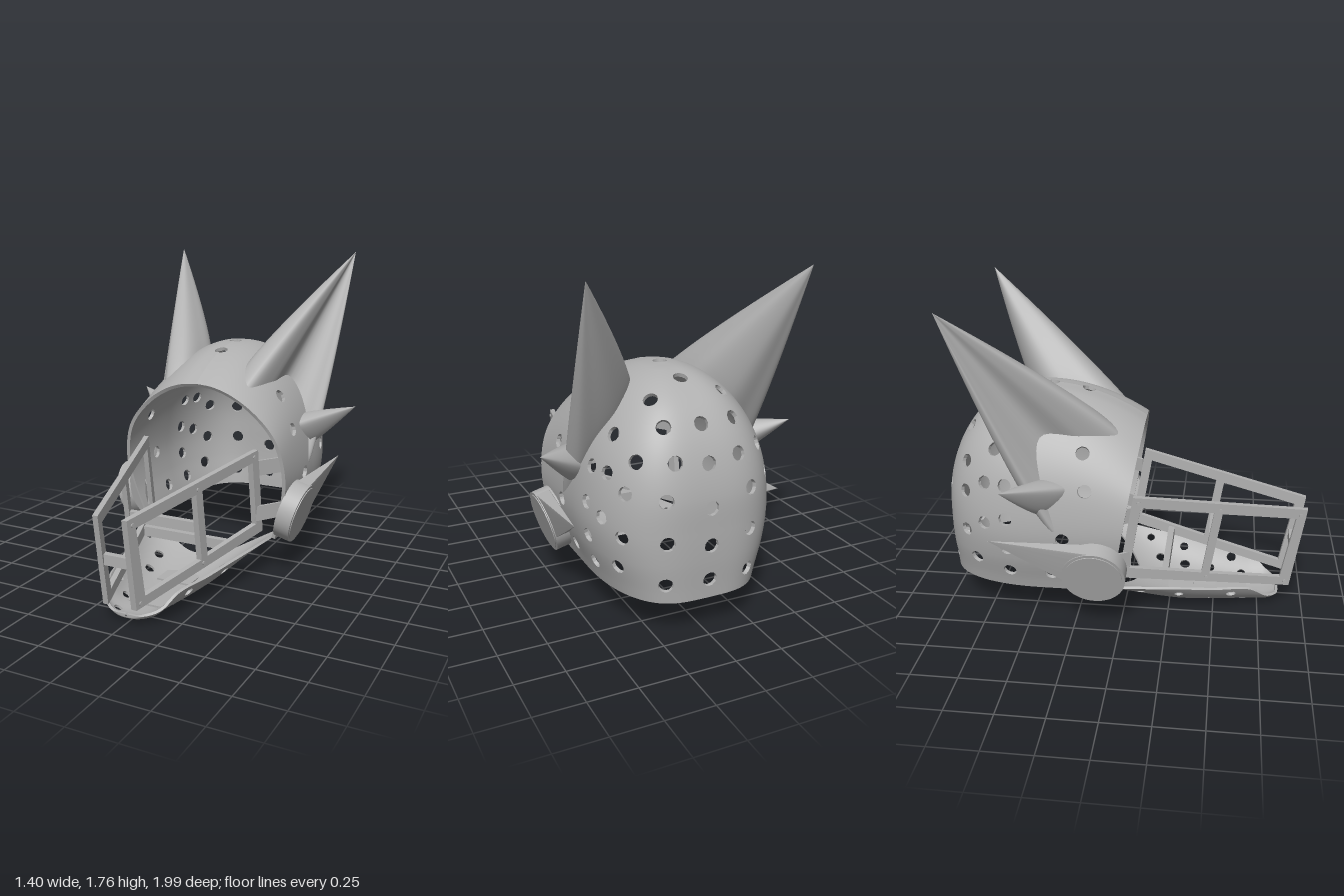
import * as THREE from 'three';
import { ConvexGeometry } from 'three/addons/geometries/ConvexGeometry.js';

const V = (x, y, z) => new THREE.Vector3(x, y, z);
const grey = new THREE.MeshStandardMaterial({ color: 0xb0b0b0 });
grey.name = 'plain grey';

// parameter 0..1 at which a monotone function reaches a target
function solve(fn, target) {
  let a = 0, b = 1;
  const rising = fn(1) > fn(0);
  for (let i = 0; i < 30; i++) {
    const m = (a + b) / 2;
    if ((fn(m) < target) === rising) a = m; else b = m;
  }
  return (a + b) / 2;
}

// thick sheet over P(u, v), trimmed and pierced wherever keep(p, u, v) is negative
function shell(P, nu, nv, thick, keep) {
  const pos = [], nor = [], e = 0.004;
  const normal = (u, v) => {
    u = THREE.MathUtils.clamp(u, e, 1 - e);
    v = THREE.MathUtils.clamp(v, 3 * e, 1 - 3 * e);
    const du = P(u + e, v).sub(P(u - e, v)), dv = P(u, v + e).sub(P(u, v - e));
    return du.cross(dv).normalize();
  };
  const point = (u, v, cut) => {
    const p = P(u, v), n = normal(u, v);
    return { u, v, cut, p, n, q: p.clone().addScaledVector(n, -thick), m: n.clone().negate(), f: keep(p, u, v) };
  };
  const tri = (ps, ns) => ps.forEach((p, i) => { pos.push(p.x, p.y, p.z); nor.push(ns[i].x, ns[i].y, ns[i].z); });
  const clip = (t) => {
    const out = [];
    t.forEach((a, i) => {
      const b = t[(i + 1) % 3];
      if (a.f >= 0) out.push(a);
      if ((a.f >= 0) !== (b.f >= 0)) {
        const k = a.f / (a.f - b.f);
        out.push(point(a.u + (b.u - a.u) * k, a.v + (b.v - a.v) * k, true));
      }
    });
    for (let i = 1; i < out.length - 1; i++) {
      const [a, b, c] = [out[0], out[i], out[i + 1]];
      tri([a.p, b.p, c.p], [a.n, b.n, c.n]);
      tri([a.q, c.q, b.q], [a.m, c.m, b.m]);
    }
    out.forEach((a, i) => {
      const b = out[(i + 1) % out.length];
      if (!a.cut || !b.cut) return;
      const w = b.p.clone().sub(a.p).cross(a.n).normalize();
      tri([a.p, a.q, b.q], [w, w, w]);
      tri([a.p, b.q, b.p], [w, w, w]);
    });
  };
  const grid = [];
  for (let j = 0; j <= nv; j++) {
    grid.push([]);
    for (let i = 0; i <= nu; i++) grid[j].push(point(i / nu, j / nv, false));
  }
  for (let j = 0; j < nv; j++) for (let i = 0; i < nu; i++) {
    const a = grid[j][i], b = grid[j][i + 1], c = grid[j + 1][i + 1], d = grid[j + 1][i];
    clip([a, b, c]);
    clip([a, c, d]);
  }
  const g = new THREE.BufferGeometry();
  g.setAttribute('position', new THREE.Float32BufferAttribute(pos, 3));
  g.setAttribute('normal', new THREE.Float32BufferAttribute(nor, 3));
  return g;
}
const outside = (holes, p) => holes.reduce((f, h) => Math.min(f, p.distanceTo(h.c) - h.r), 1);

// curved horn from a closed base loop to a tip
function horn(base, center, tip, power, n = 48, rows = 24) {
  const loop = new THREE.CatmullRomCurve3(base, true), pos = [], idx = [];
  for (let j = 0; j <= rows; j++) {
    const s = j / rows, c = center.clone().lerp(tip, s);
    for (let i = 0; i < n; i++) {
      const p = loop.getPoint(i / n).sub(center).multiplyScalar(1 - Math.pow(s, power)).add(c);
      pos.push(p.x, p.y, p.z);
      if (j === rows) continue;
      const a = j * n + i, b = j * n + (i + 1) % n;
      idx.push(a, a + n, b, b, a + n, b + n);
    }
  }
  const g = new THREE.BufferGeometry();
  g.setAttribute('position', new THREE.Float32BufferAttribute(pos, 3));
  g.setIndex(idx);
  g.computeVertexNormals();
  return g;
}

function mirrored(geo) {
  const g = (geo.index ? geo.toNonIndexed() : geo.clone()).scale(-1, 1, 1);
  for (const name of ['position', 'normal']) {
    const a = g.attributes[name].array;
    for (let i = 0; i < a.length; i += 9) for (let k = 3; k < 6; k++) [a[i + k], a[i + k + 3]] = [a[i + k + 3], a[i + k]];
  }
  return g;
}

function bar(a, b, height, thick) {
  const o = new THREE.Object3D();
  o.position.copy(a).lerp(b, 0.5);
  o.lookAt(b);
  o.updateMatrix();
  return new THREE.BoxGeometry(thick, height, a.distanceTo(b)).applyMatrix4(o.matrix);
}

export function createModel() {
  const model = new THREE.Group();
  const add = (name, geo) => {
    const m = new THREE.Mesh(geo, grey);
    m.name = name;
    model.add(m);
  };
  const pair = (name, geo) => { add(name + 'Left', geo); add(name + 'Right', mirrored(geo)); };

  // head shell: profile holds half width, height and depth behind the middle
  const profile = new THREE.CatmullRomCurve3([[.4, .14, .53], [.43, .25, .535], [.475, .4, .543], [.497, .55, .543], [.485, .72, .535],
    [.45, .87, .5], [.39, 1, .443], [.3, 1.12, .352], [.2, 1.2, .24], [.1, 1.242, .12], [0, 1.255, 0]].map((p) => V(...p)));
  const zc = -0.45, run = 0.57, side = 0.22;
  const head = (u, v) => {
    const { x: w, y, z: d } = profile.getPoint(v);
    if (u >= side && u <= 1 - side) {
      const a = (u - side) / (1 - 2 * side) * Math.PI, c = Math.cos(a), s = Math.sin(a), corner = c * c * s * s;
      return V(w * c * (1 + 0.22 * corner), y, zc - d * s * (1 + 0.48 * corner));
    }
    const s = 1 - Math.min(u, 1 - u) / side;
    return V(u < 0.5 ? w : -w, y - 0.188 * s * s * THREE.MathUtils.smoothstep(y, 0.5, 1.25), zc + run * s);
  };
  const headHoles = [];
  const headHole = (u, y) => {
    const v = y > 1.25 ? 1 : solve((t) => profile.getPoint(t).y, y);
    for (const k of [u, 1 - u]) headHoles.push({ c: head(k, v), r: 0.037 });
  };
  // back holes: angle round the head in degrees, height
  for (const [a, y] of [[16, .31], [35, .36], [61, .3], [90, .3], [16, .46], [28, .6], [40, .53], [64, .52], [90, .48], [16, .64],
    [41, .75], [63, .73], [90, .67], [17, .82], [29, .82], [45, .9], [68, .9], [90, .88], [27, .99], [60, 1.05], [90, 1.05],
    [47, 1.15], [90, 1.22]]) headHole(side + (1 - 2 * side) * a / 180, y);
  // front holes: depth, height
  for (const [z, y] of [[-.2, 1.02], [-.18, .83], [-.3, .54], [-.37, .31], [-.42, 1.255], [-.22, 1.255]])
    headHole(side * (1 - (z - zc) / run), y);
  add('headShell', shell(head, 150, 80, 0.02, (p) =>
    Math.min(outside(headHoles, p), p.y - 0.2, 0.1 - (1.08 - p.y) * 0.17 - p.z)));

  // lower jaw tray: depth, half width, floor height, rim height
  const jawRows = [[.87, .005, .045, .055], [.86, .09, .03, .055], [.8, .16, .014, .075], [.7, .21, .008, .14], [.5, .265, .004, .155],
    [.3, .315, .012, .175], [.1, .36, .06, .19], [-.05, .39, .12, .2], [-.22, .42, .18, .21]];
  const floor = new THREE.CatmullRomCurve3(jawRows.map(([z, w, y]) => V(w, y, z)));
  const rim = new THREE.CatmullRomCurve3(jawRows.map(([z, w, , y]) => V(w, y, z)));
  const jaw = (u, v) => {
    const s = (1 - 2 * u) * 1.04, f = floor.getPoint(v);
    return V(f.x * s, f.y + (rim.getPoint(v).y - f.y) * Math.abs(s) ** 3, f.z);
  };
  const jawHoles = [];
  for (const [z, s, r] of [[.6, .88, .028], [.31, .88, .026], [.1, .88, .024], [.47, .62, .03], [.32, .6, .03], [.17, .6, .03],
    [.8, .6, .025], [.66, .6, .025], [.6, 0, .05], [.3, 0, .05]]) {
    const v = solve((t) => floor.getPoint(t).z, z);
    for (const k of [s, -s]) jawHoles.push({ c: jaw((1 - k / 1.04) / 2, v), r });
  }
  add('jawTray', shell(jaw, 72, 72, 0.014, (p, u) => {
    const s = Math.abs(1 - 2 * u) * 1.04;
    return Math.min(outside(jawHoles, p), (1 - s) * 0.3, p.z - 0.06 + 0.26 * s * s);
  }));
  for (const z of [0.29, 0.6]) add('jawPlate', new THREE.BoxGeometry(0.2, 0.01, 0.18).translate(0, 0.033, z));

  // tall folded ears and small side spikes
  pair('ear', horn([V(.25, 1.04, -.01), V(.185, 1.14, -.13), V(.18, 1.19, -.33), V(.2, 1.19, -.5), V(.31, 1.07, -.59),
    V(.41, .92, -.55), V(.475, .75, -.48), V(.505, .59, -.34), V(.455, .85, -.41), V(.345, 1.06, -.42), V(.315, 1.04, -.2)],
  V(.32, 1.04, -.38), V(.577, 1.76, -.87), 1.18, 64));
  pair('spike', horn([V(.46, .82, -.28), V(.44, .86, -.42), V(.45, .78, -.5), V(.5, .69, -.43)],
    V(.465, .79, -.41), V(.7, .89, -.57), 1.15, 32, 16));

  // side cups with swept-back fins
  const tilt = -1.845, cx = 0.5, cy = 0.36, cz = -0.13;
  const place = (g) => g.rotateZ(tilt).translate(cx, cy, cz);
  pair('cup', place(new THREE.CylinderGeometry(0.17, 0.17, 0.09, 48)));
  pair('cupFace', place(new THREE.CylinderGeometry(0.155, 0.155, 0.008, 48).translate(0, 0.046, 0)));
  const finPoints = [V(.575, .555, -.68)];
  for (let k = -10; k <= 100; k += 10) for (const h of [-0.035, 0.04]) {
    const a = THREE.MathUtils.degToRad(k);
    finPoints.push(V(-0.168 * Math.sin(a), h, -0.168 * Math.cos(a)).applyAxisAngle(V(0, 0, 1), tilt).add(V(cx, cy, cz)));
  }
  pair('cupFin', new ConvexGeometry(finPoints));

  // muzzle cage panels drawn in depth and height, then swung outwards
  const outline = (pts, T) => new T(pts.map(([z, y]) => new THREE.Vector2(z, y)));
  const panel = outline([[1, .595], [.06, .74], [-.02, .255], [.925, .115]], THREE.Shape);
  panel.holes.push(outline([[.94, .545], [.87, .175], [.475, .235], [.535, .605]], THREE.Path),
    outline([[.49, .615], [.43, .245], [.04, .31], [.1, .675]], THREE.Path));
  const swing = new THREE.Matrix4().makeBasis(V(-.27, 0, 1), V(.042, 1, 0), V(-1, 0, 0)).setPosition(.34, 0, 0);
  pair('cagePanel', new THREE.ExtrudeGeometry(panel, { depth: 0.03, bevelEnabled: false }).applyMatrix4(swing));
  for (const [z, y] of [[.965, .565], [.525, .63], [.09, .705], [.9, .145], [.46, .215]])
    pair('cageBolt', new THREE.CylinderGeometry(0.01, 0.01, 0.008, 12).rotateZ(-Math.PI / 2)
      .rotateY(-0.26).translate(.342 - .27 * z + .042 * y, y, z));
  for (const [z, y, half] of [[.932, .358, .085], [.481, .415, .21], [.23, .24, .27]])
    add('cageCrossbar', new THREE.BoxGeometry(half * 2, 0.055, 0.035).translate(0, y, z));

  // straps joining the cage to the head shell
  for (const y of [0.37, 0.63]) pair('strap', bar(V(.335, y, .045), V(.465, y, -.14), 0.085, 0.014));
  return model;
}
